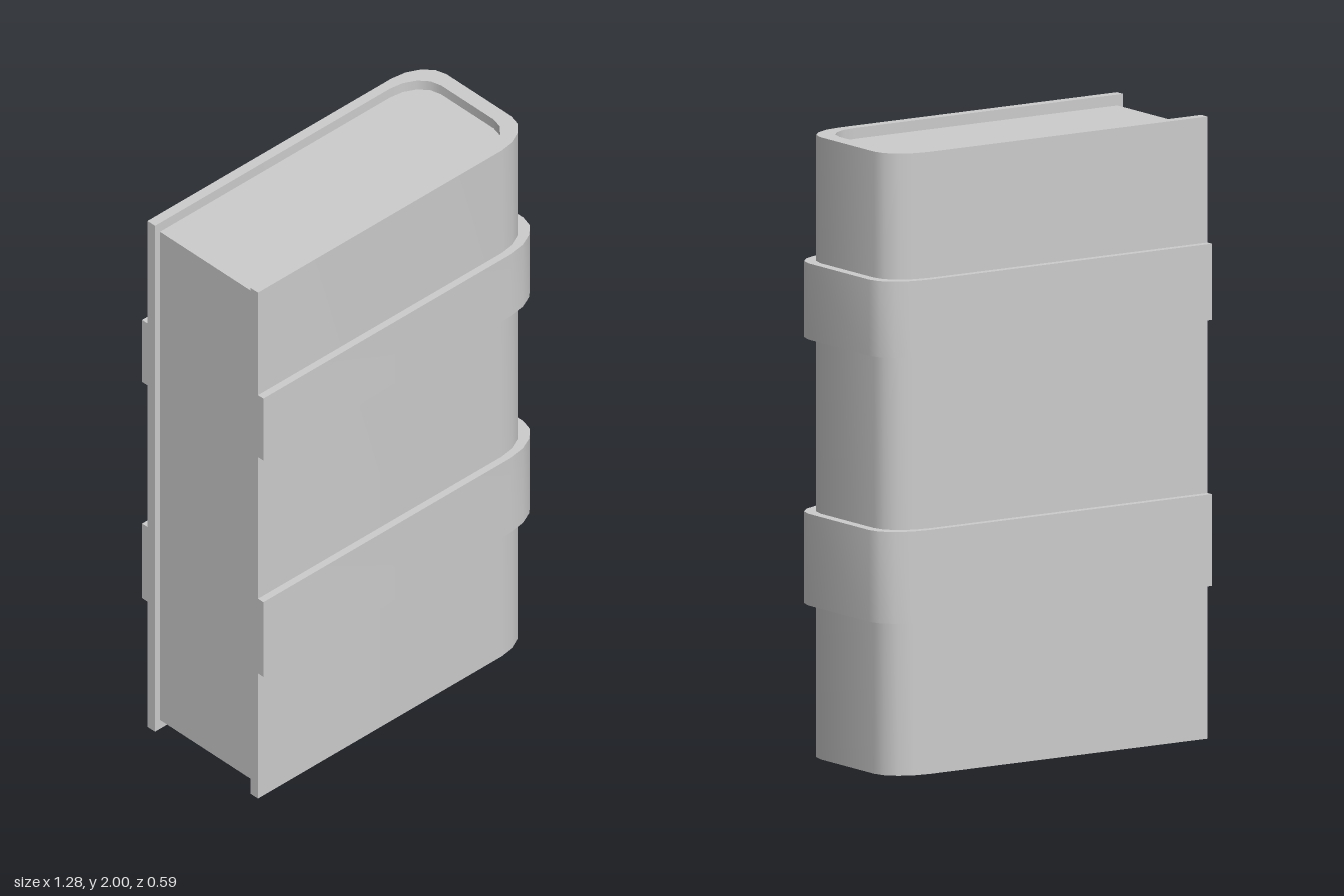
import * as THREE from 'three';
import { toCreasedNormals } from 'three/addons/utils/BufferGeometryUtils.js';

const LEFT = -0.625; // open (fore-edge) end of the cover
const SEGMENTS = 4; // facets per rounded spine corner

// Slight lean of the plan: local (u, v) to shape coordinates (x, -z)
const place = (u, v) => new THREE.Vector2(u - 0.053 * v, -(v + 0.0275 * u));

// U-shaped outline: back edge, rounded spine, front edge
function outline(start, end, half, rx, rz) {
  const points = [place(start, -half)];
  for (const side of [-1, 1]) {
    for (let i = 0; i <= SEGMENTS; i++) {
      const t = (side < 0 ? i : SEGMENTS - i) / SEGMENTS * Math.PI / 2;
      points.push(place(end - rx + rx * Math.sin(t), side * (half - rz + rz * Math.cos(t))));
    }
  }
  points.push(place(start, half));
  return points;
}

// Upright prism over a plan outline
function prism(name, points, bottom, top) {
  const geometry = new THREE.ExtrudeGeometry(new THREE.Shape(points), {
    depth: top - bottom, bevelEnabled: false,
  });
  geometry.rotateX(-Math.PI / 2);
  geometry.translate(0, bottom, 0);
  const mesh = new THREE.Mesh(
    toCreasedNormals(geometry, 0.6),
    new THREE.MeshStandardMaterial({ color: 0xcccccc }),
  );
  mesh.name = name;
  return mesh;
}

export function createModel() {
  const group = new THREE.Group();
  group.name = 'book';

  const inner = () => outline(LEFT, 0.541, 0.222, 0.13, 0.1);
  const cover = () => outline(LEFT, 0.594, 0.257, 0.145, 0.105);
  const band = () => outline(LEFT, 0.627, 0.282, 0.16, 0.11);

  // Cover wrapped round the spine, open at the fore-edge
  group.add(prism('cover', [...cover(), ...inner().reverse()], 0, 2));

  // Page block, set back from the cover edges
  group.add(prism('pages', outline(-0.603, 0.541, 0.222, 0.13, 0.1), 0.035, 1.965));

  // Two raised bands round the cover
  for (const [name, bottom, top] of [['lowerBand', 0.495, 0.79], ['upperBand', 1.35, 1.595]]) {
    group.add(prism(name, [...band(), ...cover().reverse()], bottom, top));
  }
  return group;
}
